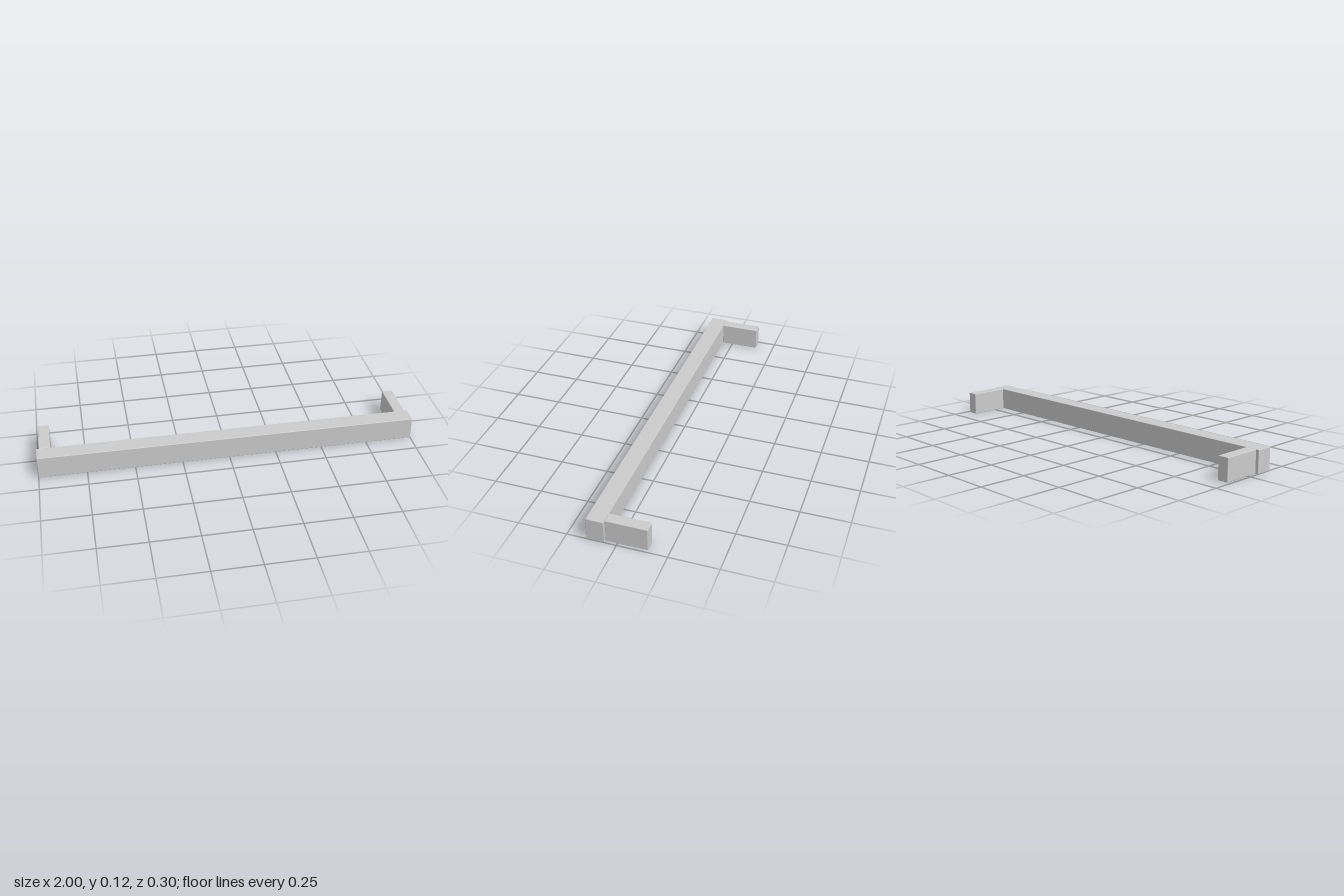
import * as THREE from 'three';
import { RoundedBoxGeometry } from 'three/addons/geometries/RoundedBoxGeometry.js';

const HEIGHT = 0.12;
const EDGE = 0.003; // tiny softened edge

export function createModel() {
  const group = new THREE.Group();
  group.name = 'barHandle';
  const material = new THREE.MeshStandardMaterial({ color: 0xcccccc });

  // Block standing on the ground, given by its x and z extents
  const addBlock = (name, x0, x1, z0, z1) => {
    const geometry = new RoundedBoxGeometry(x1 - x0, HEIGHT, z1 - z0, 2, EDGE);
    const mesh = new THREE.Mesh(geometry, material);
    mesh.name = name;
    mesh.position.set((x0 + x1) / 2, HEIGHT / 2, (z0 + z1) / 2);
    group.add(mesh);
  };

  // Long grip across the front
  addBlock('gripBar', -1, 1, 0.06, 0.15);

  // Mounting posts behind each end, set in slightly from the ends
  addBlock('leftPost', 0.927, 0.985, -0.15, 0.06);
  addBlock('rightPost', -0.985, -0.927, -0.15, 0.06);

  return group;
}
